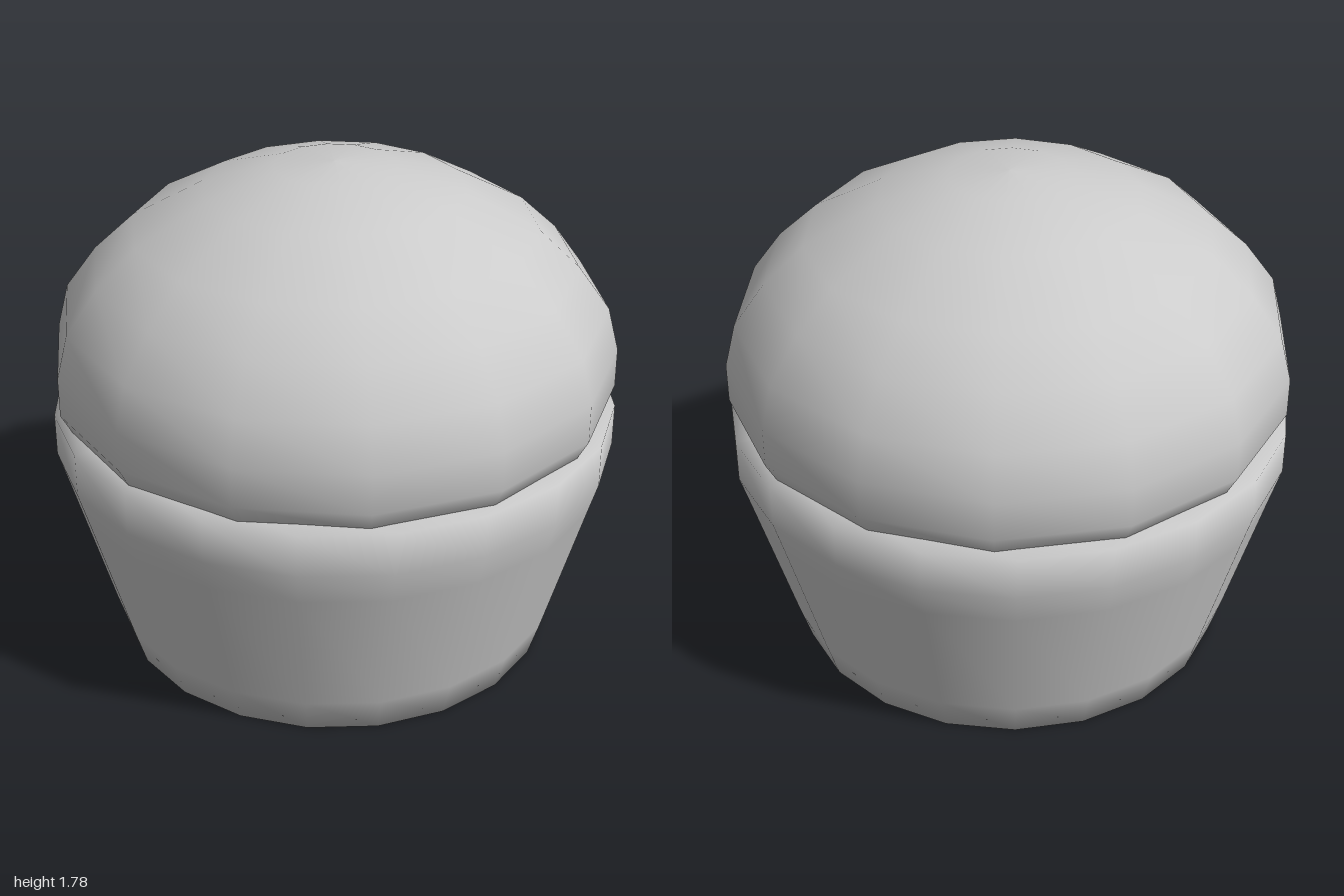
import * as THREE from 'three';

const material = new THREE.MeshStandardMaterial({ color: 0xcccccc });

// Smooth solid of revolution from a [radius, height] profile, bottom to top
function turned(name, profile, sides) {
  const points = profile.map(([r, y]) => new THREE.Vector2(r, y));
  const mesh = new THREE.Mesh(new THREE.LatheGeometry(points, sides), material);
  mesh.name = name;
  return mesh;
}

export function createModel() {
  const group = new THREE.Group();
  group.name = 'cupcake';

  // Tapered cup with an upright rim and a closed top
  const cup = turned('cup', [
    [0, 0], [0.78, 0], [0.82, 0.13], [0.965, 0.64], [1, 0.76],
    [1, 0.912], [0.9, 0.92], [0, 0.92],
  ], 20);

  // Domed cake top, its underside sunk into the cup
  const dome = turned('cakeTop', [
    [0, 0.8], [0.87, 0.82], [0.955, 0.91], [0.995, 0.985], [0.995, 1.125], [0.955, 1.28],
    [0.845, 1.43], [0.705, 1.56], [0.455, 1.695], [0.21, 1.77], [0, 1.785],
  ], 14);
  dome.rotation.y = -0.03;

  group.add(cup, dome);
  return group;
}
